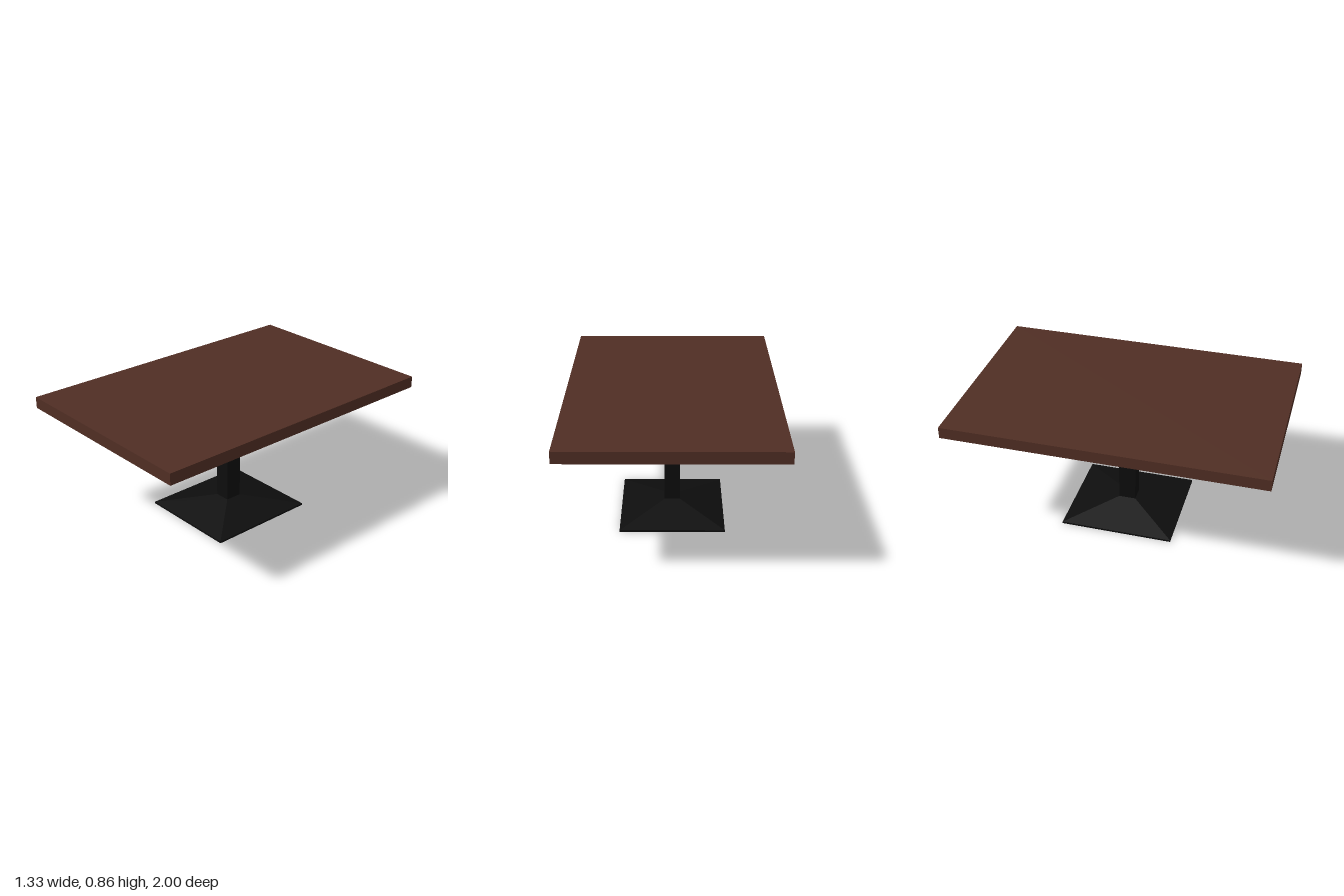
import * as THREE from 'three';

// Flat-faced solid lofted through rectangular sections [halfX, y, halfZ], bottom to top
function loftRects(sections) {
  const rings = sections.map(([x, y, z]) => [[-x, y, z], [x, y, z], [x, y, -z], [-x, y, -z]]);
  const pos = [];
  const quad = (a, b, c, d) => pos.push(...a, ...b, ...c, ...a, ...c, ...d);
  for (let i = 0; i < rings.length - 1; i++) {
    const lo = rings[i], hi = rings[i + 1];
    for (let k = 0; k < 4; k++) {
      const n = (k + 1) % 4;
      quad(lo[k], lo[n], hi[n], hi[k]);
    }
  }
  const [b, t] = [rings[0], rings[rings.length - 1]];
  quad(b[3], b[2], b[1], b[0]);
  quad(t[0], t[1], t[2], t[3]);
  const geo = new THREE.BufferGeometry();
  geo.setAttribute('position', new THREE.Float32BufferAttribute(pos, 3));
  geo.computeVertexNormals();
  return geo;
}

export function createModel() {
  const wood = new THREE.MeshStandardMaterial({ color: 0x502e24 });
  wood.name = 'dark wood';
  const metal = new THREE.MeshStandardMaterial({ color: 0x0d0d0d });
  metal.name = 'black metal';

  const table = new THREE.Group();
  table.name = 'pedestalTable';
  const add = (name, geo, mat) => {
    const mesh = new THREE.Mesh(geo, mat);
    mesh.name = name;
    table.add(mesh);
    return mesh;
  };

  const px = 0.051, pz = 0.055; // half size of the post

  // Table top with an underside tapering to the post
  add('tableTop', loftRects([[px, 0.737, pz], [0.666, 0.784, 1], [0.666, 0.857, 1]]), wood);

  // Square post
  add('post', new THREE.BoxGeometry(px * 2, 0.662, pz * 2), metal).position.y = 0.407;

  // Sloped foot with a thin rim
  add('foot', loftRects([[0.335, 0, 0.363], [0.335, 0.012, 0.363], [px, 0.077, pz]]), metal);

  return table;
}
